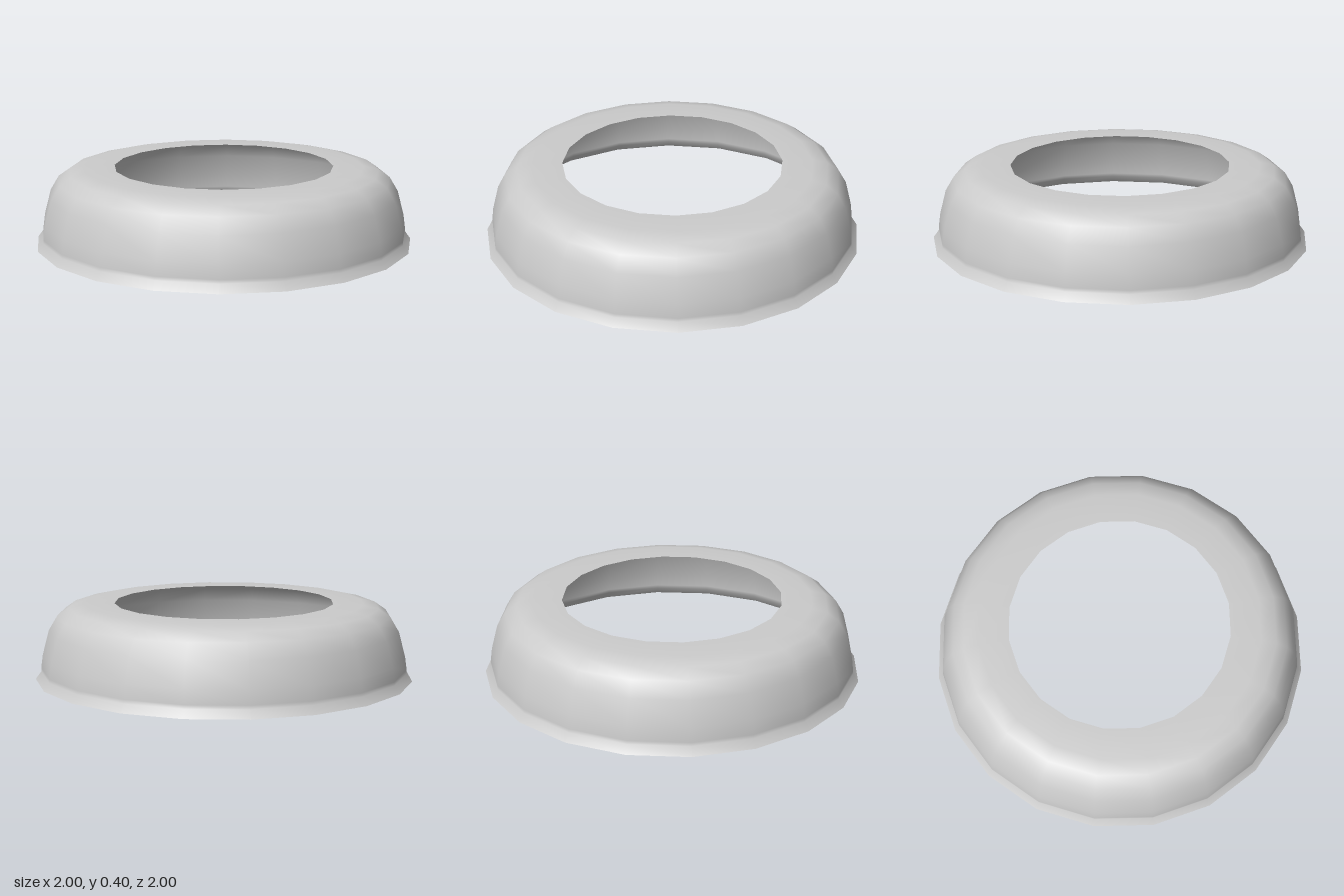
import * as THREE from 'three';

export function createModel() {
  const group = new THREE.Group();
  group.name = 'ringCover';

  // Open shell profile, from the flared foot up to the rim of the hole
  const profile = [
    [1, 0], [0.97, 0.04], [0.97, 0.06], [0.96, 0.13], [0.925, 0.26],
    [0.88, 0.335], [0.82, 0.377], [0.74, 0.395], [0.58, 0.395],
  ].map(([r, y]) => new THREE.Vector2(r, y));

  // Smooth-shaded, twenty-sided thin surface
  const shell = new THREE.Mesh(
    new THREE.LatheGeometry(profile, 20),
    new THREE.MeshStandardMaterial({ color: 0xcccccc, side: THREE.DoubleSide })
  );
  shell.name = 'shell';
  group.add(shell);
  return group;
}
